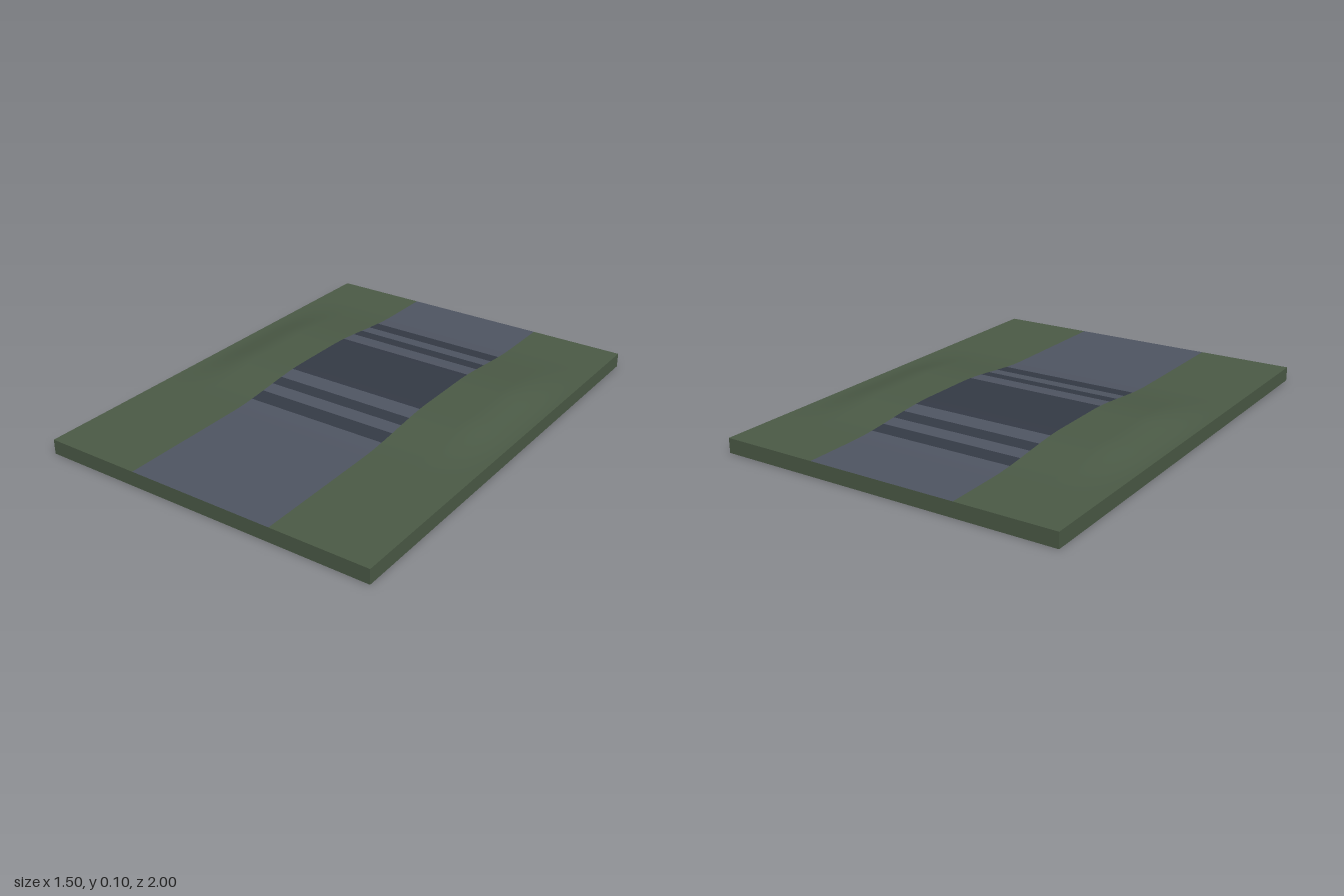
import * as THREE from 'three';

const HALF_W = 0.75, HALF_L = 1, BASE = 0.063, RISE = 0.034, ROAD = 0.325;
const smooth = THREE.MathUtils.smoothstep;

// Ground height: a flat slab with one broad, soft hump
function height(x, z) {
  const across = 1 - smooth(Math.abs(x), 0.53, 0.74);
  const along = smooth(z, -0.77, -0.28) * (1 - smooth(z, -0.05, 0.42));
  return BASE + RISE * across * along;
}

// Rectangular piece of ground surface, with normals from the slope so seams stay smooth
function patch(name, x0, x1, z0, z1, material) {
  const nx = Math.ceil((x1 - x0) / 0.03), nz = Math.ceil((z1 - z0) / 0.03);
  const geo = new THREE.PlaneGeometry(x1 - x0, z1 - z0, nx, nz);
  geo.rotateX(-Math.PI / 2).translate((x0 + x1) / 2, 0, (z0 + z1) / 2);
  const pos = geo.attributes.position, nor = geo.attributes.normal;
  const n = new THREE.Vector3(), e = 0.002;
  for (let i = 0; i < pos.count; i++) {
    const x = pos.getX(i), z = pos.getZ(i);
    pos.setY(i, height(x, z));
    n.set(height(x - e, z) - height(x + e, z), 2 * e, height(x, z - e) - height(x, z + e)).normalize();
    nor.setXYZ(i, n.x, n.y, n.z);
  }
  const mesh = new THREE.Mesh(geo, material);
  mesh.name = name;
  return mesh;
}

export function createModel() {
  const model = new THREE.Group();
  model.name = 'roadTile';
  const grass = new THREE.MeshStandardMaterial({ color: 0x4b5a46 });
  const asphalt = new THREE.MeshStandardMaterial({ color: 0x4f5562 });
  const dark = new THREE.MeshStandardMaterial({ color: 0x343a45 });

  // Slab sides and underside, with the top face left out
  const slab = new THREE.BoxGeometry(2 * HALF_W, BASE, 2 * HALF_L).translate(0, BASE / 2, 0);
  const index = Array.from(slab.index.array);
  index.splice(12, 6);
  slab.setIndex(index);
  slab.clearGroups();
  const base = new THREE.Mesh(slab, grass);
  base.name = 'base';
  model.add(base);

  // Verges
  model.add(patch('leftVerge', ROAD, HALF_W, -HALF_L, HALF_L, grass));
  model.add(patch('rightVerge', -HALF_W, -ROAD, -HALF_L, HALF_L, grass));

  // Road, alternating plain sections and dark bands from back to front
  const cuts = [-HALF_L, -0.65, -0.58, -0.515, -0.45, -0.37, 0.015, 0.095, 0.155, 0.22, 0.295, HALF_L];
  for (let i = 0; i < cuts.length - 1; i++) {
    const band = i % 2 === 1;
    model.add(patch(band ? 'darkBand' : 'roadSection', -ROAD, ROAD, cuts[i], cuts[i + 1], band ? dark : asphalt));
  }
  return model;
}
